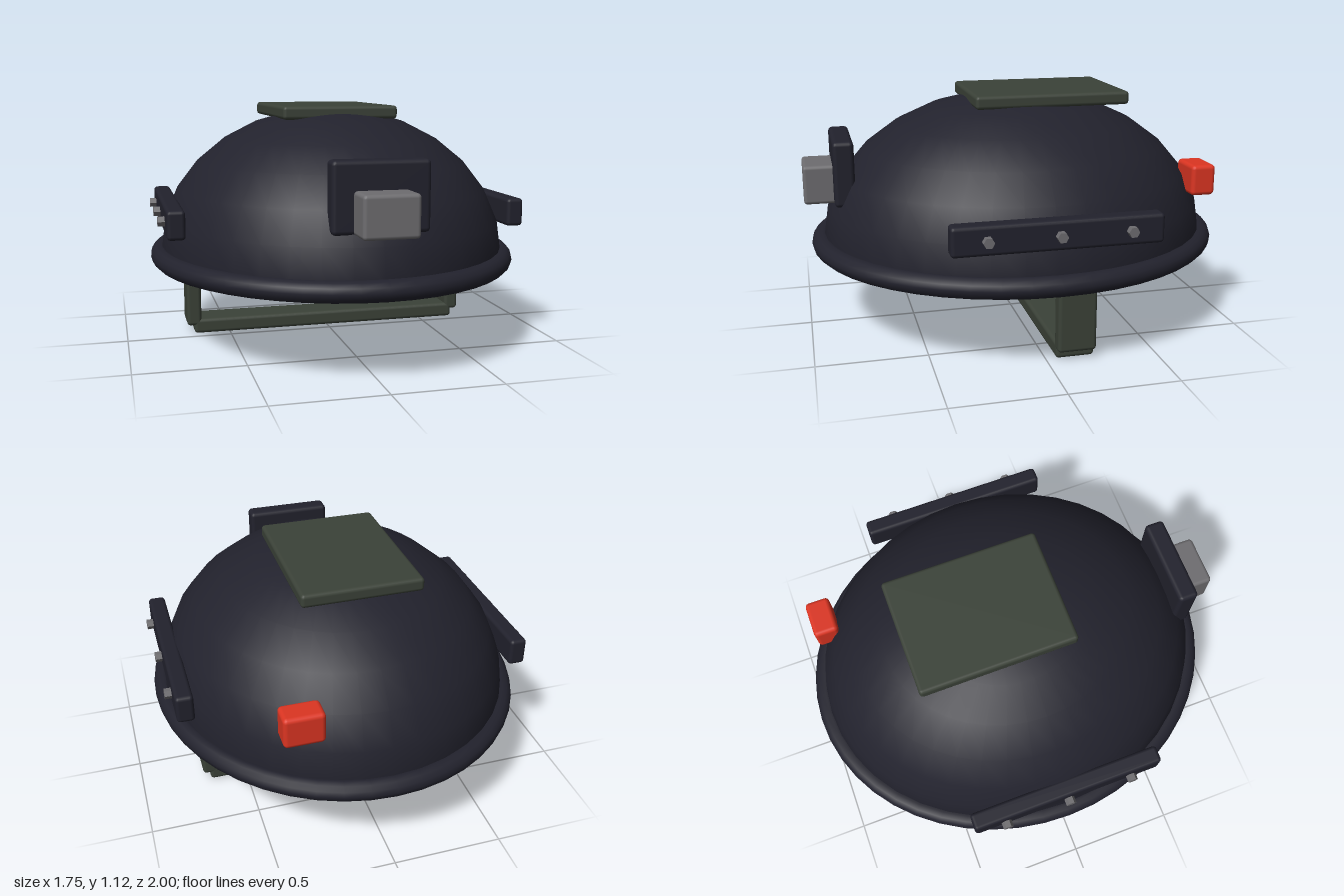
import * as THREE from 'three';
import { RoundedBoxGeometry } from 'three/addons/geometries/RoundedBoxGeometry.js';

function material(name, color) {
  const m = new THREE.MeshStandardMaterial({ color });
  m.name = name;
  return m;
}

export function createModel() {
  const navy = material('dark navy', 0x22222d);
  const olive = material('olive', 0x3b4238);
  const grey = material('metal grey', 0x6e6d70);
  const red = material('signal red', 0xdc3522);

  const model = new THREE.Group();
  model.name = 'helmet';
  const Z = -0.0125; // centre line of the shell
  const STRETCH = 1.125; // shell is longer than it is wide

  function add(name, geometry, mat, x, y, z) {
    const mesh = new THREE.Mesh(geometry, mat);
    mesh.name = name;
    mesh.position.set(x, y, z);
    model.add(mesh);
    return mesh;
  }

  // Soft-edged box given by its low and high corners
  function block(name, mat, lo, hi, radius = 0.017) {
    const size = hi.map((h, i) => h - lo[i]);
    const mid = hi.map((h, i) => (h + lo[i]) / 2);
    return add(name, new RoundedBoxGeometry(...size, 2, radius), mat, ...mid);
  }

  // Shell: half ellipsoid, closed underneath, with a rolled rim
  const dome = new THREE.SphereGeometry(0.825, 40, 7, 0, Math.PI * 2, 0, Math.PI / 2);
  dome.scale(1, 0.68 / 0.825, STRETCH);
  add('dome', dome, navy, 0, 0.43, Z);

  const floor = new THREE.CircleGeometry(0.825, 40);
  floor.rotateX(Math.PI / 2);
  floor.scale(1, 1, STRETCH);
  add('shellUnderside', floor, navy, 0, 0.43, Z);

  const rim = new THREE.TorusGeometry(0.83, 0.047, 12, 48);
  rim.rotateX(Math.PI / 2);
  rim.scale(1, 1, STRETCH);
  add('rim', rim, navy, 0, 0.408, Z);

  // Top panel
  block('topPanel', olive, [-0.275, 1.06, -0.505], [0.275, 1.122, 0.225]);

  // Front mount and lamp
  block('frontMount', navy, [-0.21, 0.627, 0.77], [0.21, 0.93, 0.865], 0.02);
  block('lamp', grey, [-0.12, 0.627, 0.84], [0.12, 0.808, 1.0]);

  // Rear marker light, off to one side
  block('markerLight', red, [0.275, 0.645, -0.877], [0.455, 0.79, -0.76], 0.02);

  for (const side of [-1, 1]) {
    const label = side > 0 ? 'left' : 'right';

    // Side rail with three hexagonal bolts
    const rail = block(label + 'Rail', navy, [-0.04, 0.56, -0.47], [0.04, 0.69, 0.446]);
    rail.position.x = side * 0.789;
    for (let i = -1; i <= 1; i++) {
      const bolt = new THREE.CylinderGeometry(0.024, 0.024, 0.07, 6).toNonIndexed();
      bolt.computeVertexNormals();
      bolt.rotateZ(Math.PI / 2);
      add(label + 'Bolt', bolt, grey, side * 0.825, 0.625, Z + i * 0.308);
    }

    // Hanging side strap
    const strap = block(label + 'Strap', olive, [-0.035, 0.04, -0.222], [0.035, 0.46, -0.045]);
    strap.position.x = side * 0.675;
  }

  // Chin strap joining both sides
  block('chinStrap', olive, [-0.675, 0, -0.222], [0.675, 0.072, -0.045]);

  return model;
}
